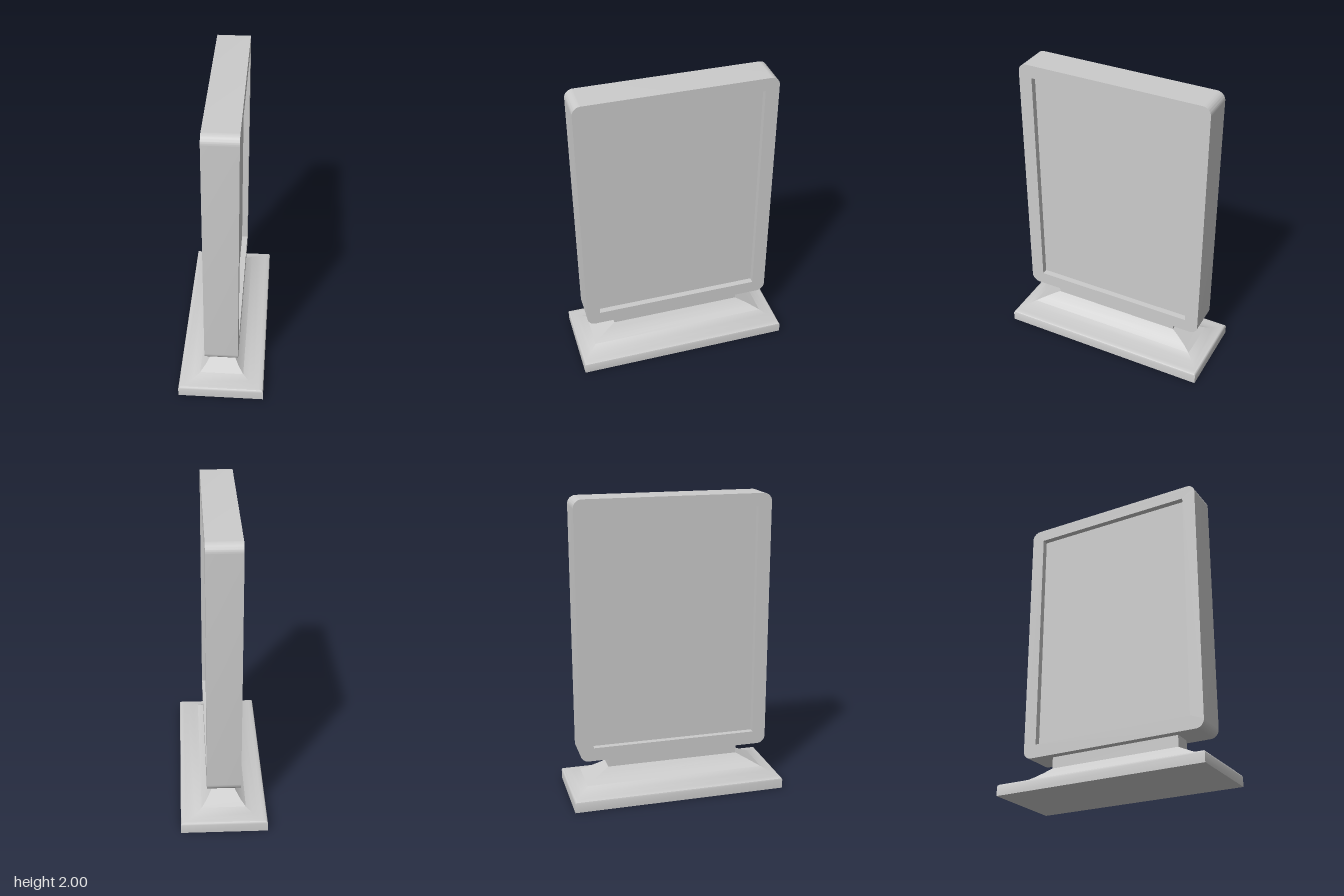
import * as THREE from 'three';
import { toCreasedNormals } from 'three/addons/utils/BufferGeometryUtils.js';

const material = new THREE.MeshStandardMaterial({ color: 0xcccccc });

function addPart(group, name, geometry, x = 0, y = 0, z = 0) {
  const mesh = new THREE.Mesh(geometry, material);
  mesh.name = name;
  mesh.position.set(x, y, z);
  group.add(mesh);
  return mesh;
}

// Rectangle outline with rounded corners, half width w, from y0 to y1
function roundedRect(w, y0, y1, r) {
  const s = new THREE.Shape();
  s.absarc(w - r, y0 + r, r, -Math.PI / 2, 0);
  s.absarc(w - r, y1 - r, r, 0, Math.PI / 2);
  s.absarc(-w + r, y1 - r, r, Math.PI / 2, Math.PI);
  s.absarc(-w + r, y0 + r, r, Math.PI, Math.PI * 1.5);
  s.closePath();
  return s;
}

// Skin over stacked rectangles given as [y, half x, half z], bottom to top
function loftRectangles(sections, crease) {
  const corners = [[1, 1], [1, -1], [-1, -1], [-1, 1]];
  const positions = [];
  const point = ([y, x, z], k) => [corners[k % 4][0] * x, y, corners[k % 4][1] * z];
  for (let i = 0; i < sections.length - 1; i++) {
    for (let k = 0; k < 4; k++) {
      const a = point(sections[i], k), b = point(sections[i], k + 1);
      const c = point(sections[i + 1], k + 1), d = point(sections[i + 1], k);
      positions.push(...a, ...b, ...c, ...a, ...c, ...d);
    }
  }
  const g = new THREE.BufferGeometry();
  g.setAttribute('position', new THREE.Float32BufferAttribute(positions, 3));
  return toCreasedNormals(g, crease);
}

export function createModel() {
  const model = new THREE.Group();
  model.name = 'displayStand';

  // Frame: rounded surround with a rectangular opening, extruded across x
  const outline = roundedRect(0.645, 0.275, 2, 0.055);
  const opening = new THREE.Path();
  opening.moveTo(-0.555, 0.365);
  opening.lineTo(-0.555, 1.915);
  opening.lineTo(0.555, 1.915);
  opening.lineTo(0.555, 0.365);
  opening.closePath();
  outline.holes.push(opening);
  const frame = new THREE.ExtrudeGeometry(outline, { depth: 0.22, bevelEnabled: false, curveSegments: 8 });
  frame.translate(0, 0, -0.11);
  frame.rotateY(Math.PI / 2);
  addPart(model, 'frame', toCreasedNormals(frame, 0.6));

  // Panel recessed on both faces
  addPart(model, 'panel', new THREE.BoxGeometry(0.14, 1.55, 1.11), 0, 1.14, 0);

  // Neck between frame and base
  addPart(model, 'neck', new THREE.BoxGeometry(0.12, 0.09, 0.9), 0, 0.235, 0);

  // Base: slab with softened top edge flowing into a concave flare
  addPart(model, 'base', loftRectangles([
    [0, 0.283, 0.717],
    [0.06, 0.283, 0.717],
    [0.069, 0.28, 0.714],
    [0.075, 0.271, 0.708],
    [0.078, 0.25, 0.697],
    [0.084, 0.22, 0.677],
    [0.095, 0.185, 0.648],
    [0.115, 0.145, 0.608],
    [0.14, 0.112, 0.56],
    [0.17, 0.083, 0.505],
    [0.2, 0.06, 0.45],
  ], 0.65));

  const underside = new THREE.PlaneGeometry(0.566, 1.434);
  underside.rotateX(Math.PI / 2);
  addPart(model, 'baseUnderside', underside);

  return model;
}
